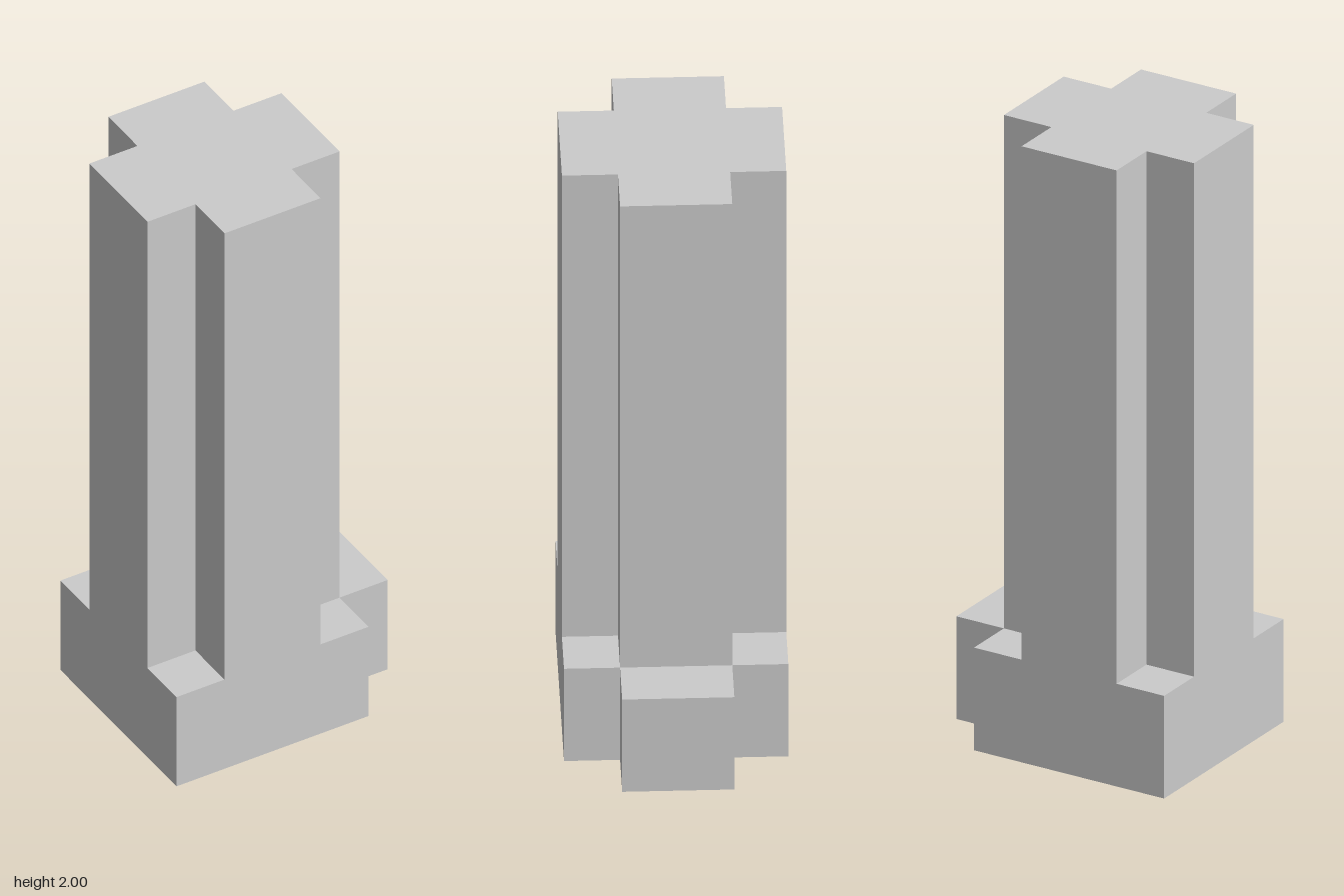
import * as THREE from 'three';

const U = 1 / 6; // modular unit

// Extrudes a plan outline (in units, x and z) upwards from y0 to y1 (in units)
function prism(name, outline, y0, y1) {
  const shape = new THREE.Shape(outline.map(([x, z]) => new THREE.Vector2(x * U, -z * U)));
  const geometry = new THREE.ExtrudeGeometry(shape, { depth: (y1 - y0) * U, bevelEnabled: false });
  geometry.rotateX(-Math.PI / 2);
  geometry.translate(0, y0 * U, 0);
  const material = new THREE.MeshStandardMaterial({ color: 0xcccccc, flatShading: true });
  const mesh = new THREE.Mesh(geometry, material);
  mesh.name = name;
  return mesh;
}

export function createModel() {
  const group = new THREE.Group();
  group.name = 'tower';

  // Square base with a narrower step projecting to +x
  group.add(prism('base', [
    [-2.5, -2], [1.5, -2], [1.5, -1], [2.5, -1],
    [2.5, 1], [1.5, 1], [1.5, 2], [-2.5, 2],
  ], 0, 2));

  // Cross-shaped shaft: a square with its four corners notched
  group.add(prism('shaft', [
    [-1.5, -2], [0.5, -2], [0.5, -1], [1.5, -1], [1.5, 1], [0.5, 1],
    [0.5, 2], [-1.5, 2], [-1.5, 1], [-2.5, 1], [-2.5, -1], [-1.5, -1],
  ], 2, 12));

  return group;
}
